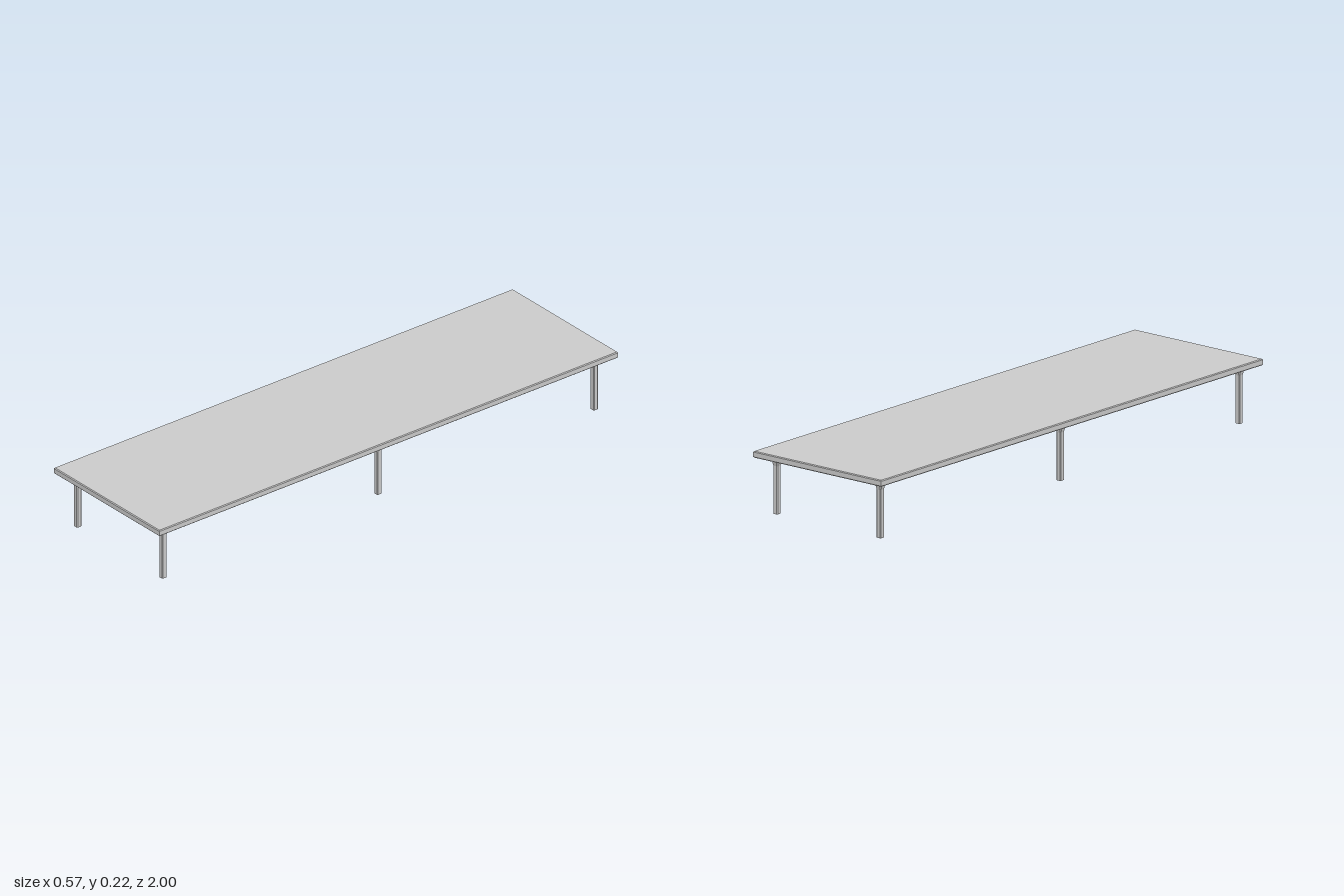
import * as THREE from 'three';

const material = new THREE.MeshStandardMaterial({ color: 0xcccccc, flatShading: true });

// Square with cut corners: half-width h, corner cut c
function cutSquare(h, c) {
  const k = h - c;
  return new THREE.Shape([
    [h, -k], [h, k], [k, h], [-k, h], [-h, k], [-h, -k], [-k, -h], [k, -h],
  ].map(([x, y]) => new THREE.Vector2(x, y)));
}

// Long slab with small bevels along its top and bottom edges
function slabGeometry(width, length, bottom, top, bevel) {
  const w = width / 2, l = length / 2;
  const shape = new THREE.Shape([[-w, -l], [w, -l], [w, l], [-w, l]]
    .map(([x, y]) => new THREE.Vector2(x, y)));
  const geometry = new THREE.ExtrudeGeometry(shape, {
    depth: top - bottom - 2 * bevel,
    bevelThickness: bevel, bevelSize: bevel, bevelOffset: -bevel, bevelSegments: 1,
  });
  return geometry.rotateX(-Math.PI / 2).translate(0, bottom + bevel, 0);
}

// Straight post that flares outward just below the slab
function legGeometry(height, flareStart, flareScale) {
  const geometry = new THREE.ExtrudeGeometry(cutSquare(0.01, 0.003), {
    depth: height, steps: 2, bevelEnabled: false,
  });
  geometry.rotateX(-Math.PI / 2);
  const p = geometry.attributes.position;
  for (let i = 0; i < p.count; i++) {
    const y = p.getY(i);
    if (y > height * 0.75) {
      p.setX(i, p.getX(i) * flareScale);
      p.setZ(i, p.getZ(i) * flareScale);
    } else if (y > height * 0.25) {
      p.setY(i, flareStart);
    }
  }
  geometry.computeVertexNormals();
  return geometry;
}

export function createModel() {
  const group = new THREE.Group();
  group.name = 'longTable';

  const top = new THREE.Mesh(slabGeometry(0.57, 2, 0.2, 0.223, 0.003), material);
  top.name = 'tableTop';
  group.add(top);

  // Three pairs of legs: front, middle and back
  const leg = legGeometry(0.2, 0.17, 1.7);
  for (const [row, z] of [['front', 0.94], ['middle', 0.003], ['back', -0.94]]) {
    for (const [side, x] of [['Left', 0.23], ['Right', -0.23]]) {
      const mesh = new THREE.Mesh(leg, material);
      mesh.name = `${row}${side}Leg`;
      mesh.position.set(x, 0, z);
      group.add(mesh);
    }
  }
  return group;
}
